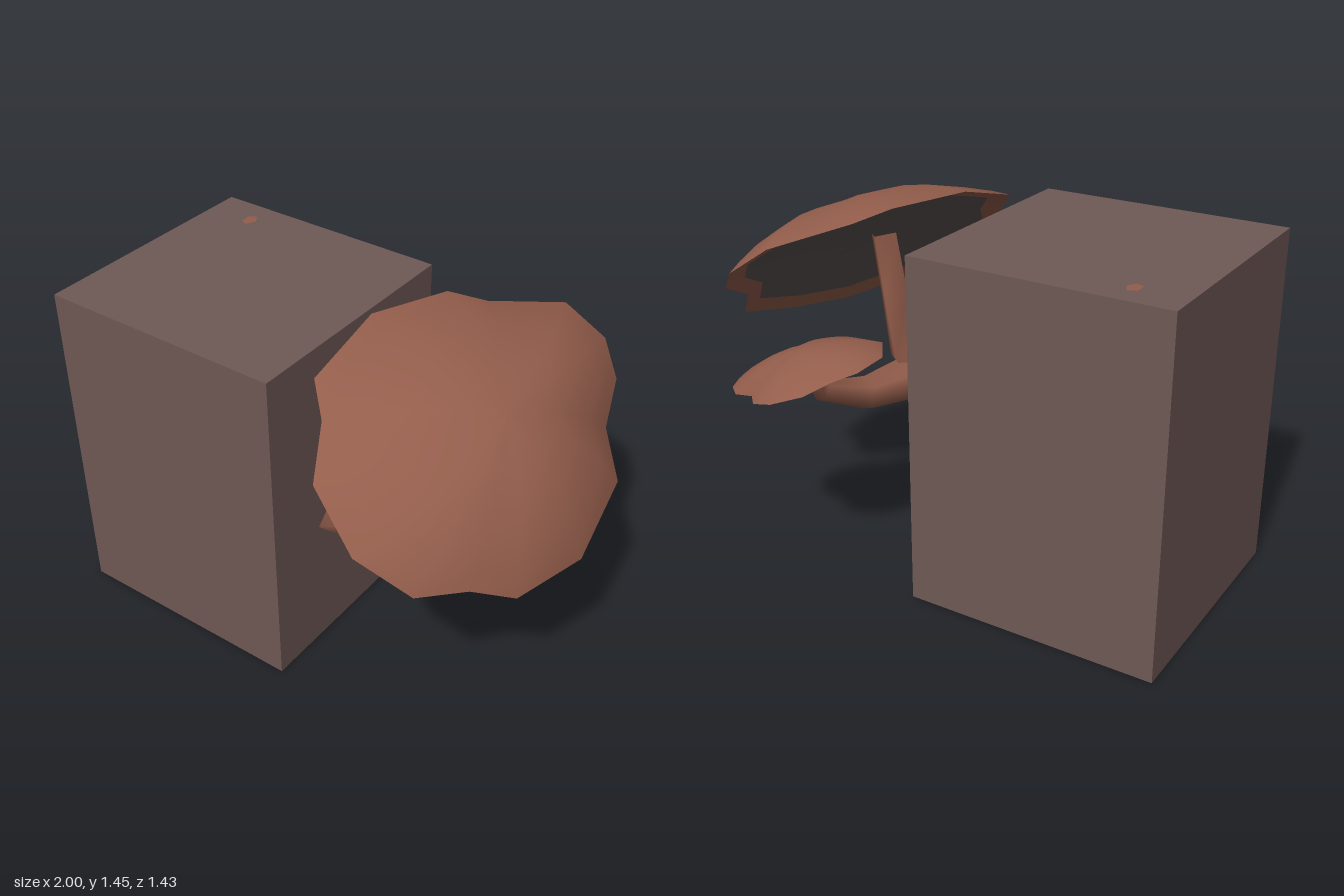
import * as THREE from 'three';

const mat = (name, color) => {
  const m = new THREE.MeshStandardMaterial({ color });
  m.name = name;
  return m;
};

// Smooth skin over closed rings of equal point count.
function loft(name, rings, material) {
  const n = rings[0].length, index = [];
  for (let r = 0; r < rings.length - 1; r++) {
    for (let i = 0; i < n; i++) {
      const j = (i + 1) % n, a = r * n, b = a + n;
      index.push(a + i, b + i, a + j, a + j, b + i, b + j);
    }
  }
  const geo = new THREE.BufferGeometry().setFromPoints(rings.flat());
  geo.setIndex(index);
  geo.computeVertexNormals();
  const mesh = new THREE.Mesh(geo, material);
  mesh.name = name;
  return mesh;
}

// Tapered stem: each station is [x, y, z, radius].
function stem(name, stations, ref, sides, material) {
  const pts = stations.map(s => new THREE.Vector3(s[0], s[1], s[2]));
  const rings = pts.map((p, k) => {
    const t = pts[Math.min(k + 1, pts.length - 1)].clone().sub(pts[Math.max(k - 1, 0)]).normalize();
    if (k === 0 && name === 'mainStem') t.set(1, 0, 0);
    const u = ref.clone().addScaledVector(t, -ref.dot(t)).normalize();
    const v = t.clone().cross(u);
    return Array.from({ length: sides }, (_, i) => {
      const a = -i / sides * Math.PI * 2;
      return p.clone().addScaledVector(u, Math.cos(a) * stations[k][3])
        .addScaledVector(v, Math.sin(a) * stations[k][3]);
    });
  });
  return loft(name, rings, material);
}

// Irregular domed cap on a tilted plane, with a lip and recessed gills below.
function cap(name, rim, center, normal, height, recess, skin, gills) {
  const group = new THREE.Group();
  group.name = name;
  const ring = (t, h) => rim.map(p => center.clone().lerp(p, t).addScaledVector(normal, h));
  const dome = [1, 0.9, 0.75, 0.55, 0.35, 0.15, 0.001].map(t => ring(t, height * (1 - t ** 2.1)));
  group.add(
    loft(name + 'Dome', dome, skin),
    loft(name + 'Lip', [ring(0.86, recess * 0.35), ring(1, 0)], skin),
    loft(name + 'Gills', [ring(0.001, recess), ring(0.4, recess * 0.9), ring(0.86, recess * 0.35)], gills));
  return group;
}

export function createModel() {
  const model = new THREE.Group();
  model.name = 'mushroomsOnBlock';
  const bark = mat('dull brown block', 0x6f5955);
  const skin = mat('reddish brown', 0x935d4b);
  const gills = mat('grey gills', 0x5c5352);
  const V = (x, y, z) => new THREE.Vector3(x, y, z);

  // Block the mushrooms grow from
  const block = new THREE.Mesh(new THREE.BoxGeometry(1, 1.37, 1), bark);
  block.name = 'block';
  block.position.set(-0.5, 0.685, 0.03);
  model.add(block);

  // Small patch on top of the block
  const patch = new THREE.Mesh(new THREE.CircleGeometry(0.04, 5), skin);
  patch.name = 'topPatch';
  patch.rotation.x = -Math.PI / 2;
  patch.scale.set(0.7, 1, 1);
  patch.position.set(-0.8, 1.372, -0.35);
  model.add(patch);

  // Stems
  model.add(stem('mainStem', [
    [-0.01, 0.565, 0.08, 0.19], [0.22, 0.64, 0.07, 0.135], [0.345, 0.78, 0.02, 0.095],
    [0.395, 1.0, 0.01, 0.065], [0.44, 1.25, 0.01, 0.06],
  ], V(0, 0, 1), 4, skin));
  model.add(stem('sideStem', [
    [0.24, 0.69, 0.06, 0.1], [0.31, 0.68, -0.05, 0.09], [0.38, 0.665, -0.22, 0.07],
    [0.45, 0.73, -0.4, 0.042], [0.48, 0.85, -0.45, 0.035],
  ], V(1, 0, 0), 5, skin));

  // Large tilted cap
  const largeRim = [
    [0.10, 1.45, 0.07], [0.22, 1.44, -0.23], [0.33, 1.39, -0.33], [0.52, 1.33, -0.58],
    [0.68, 1.22, -0.61], [0.78, 1.12, -0.53], [0.84, 1.03, -0.35], [0.955, 0.90, -0.25],
    [1.0, 0.80, 0.09], [0.91, 0.78, 0.37], [0.79, 0.83, 0.48], [0.68, 0.87, 0.65],
    [0.48, 0.98, 0.71], [0.28, 1.15, 0.65], [0.19, 1.27, 0.48], [0.10, 1.36, 0.40],
  ].map(p => V(...p));
  model.add(cap('largeCap', largeRim, V(0.55, 1.11, 0.05),
    V(0.72, 1, 0.29).normalize(), 0.23, 0.08, skin, gills));

  // Small cap, nearly level
  const smallRim = [
    [0.175, -0.38], [0.20, -0.50], [0.27, -0.57], [0.32, -0.67], [0.43, -0.72], [0.52, -0.71],
    [0.58, -0.65], [0.68, -0.63], [0.75, -0.57], [0.78, -0.50], [0.76, -0.42], [0.69, -0.33],
    [0.62, -0.30], [0.55, -0.21], [0.45, -0.19], [0.36, -0.22], [0.27, -0.25],
  ].map(([x, z]) => V(x, 0.83 - 0.27 * (x - 0.48) + 0.15 * (z + 0.45), z));
  model.add(cap('smallCap', smallRim, V(0.48, 0.83, -0.45),
    V(0.27, 1, -0.15).normalize(), 0.085, 0.03, skin, gills));

  return model;
}
